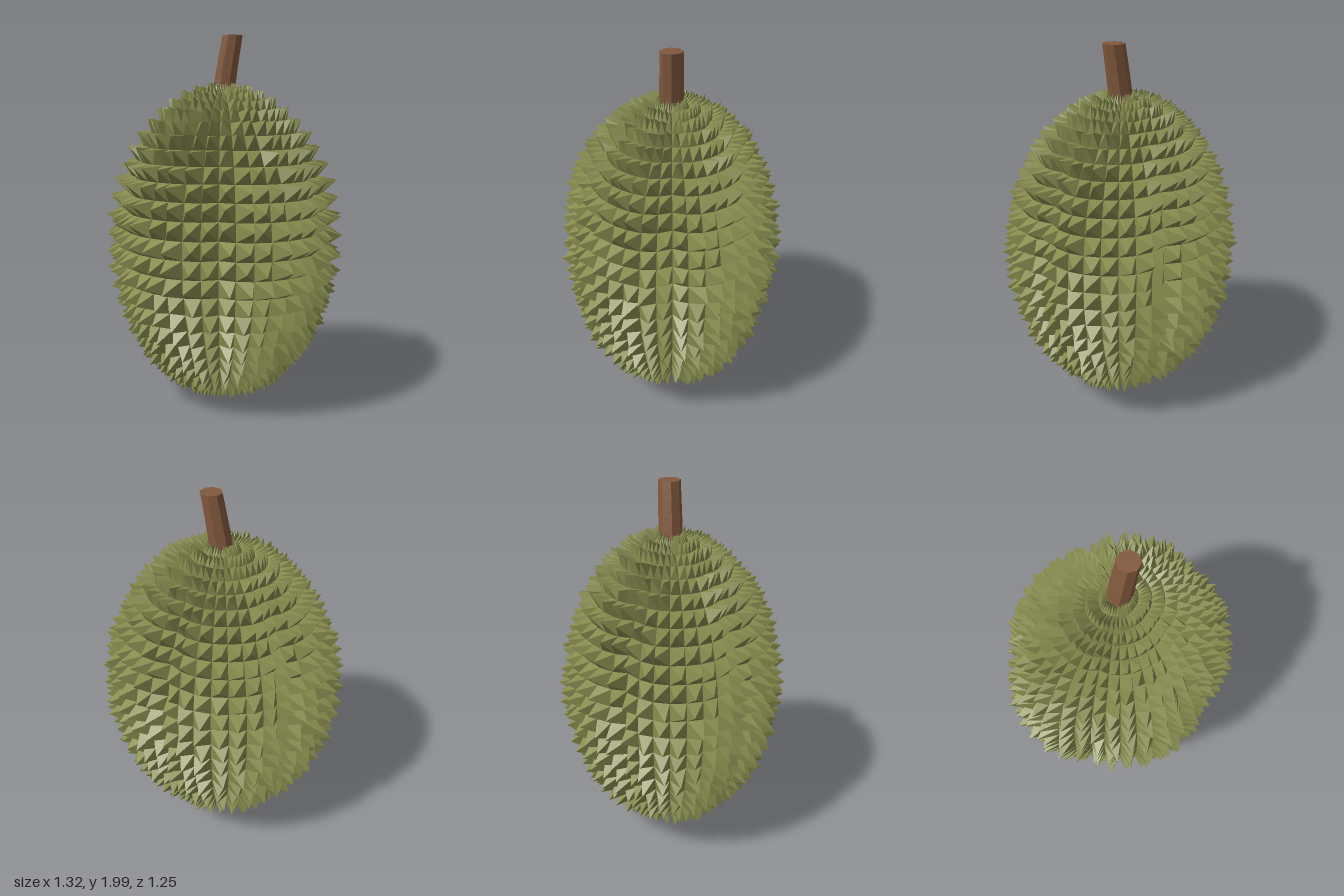
import * as THREE from 'three';

const ROWS = 26, COLS = 40, CENTRE = 0.885;
const POLE = 0.05; // angle left open around each pole

// Small seeded random, -1 to 1
function makeRandom(seed) {
  return () => {
    seed = (seed * 16807) % 2147483647;
    return (seed / 2147483647) * 2 - 1;
  };
}

// Point on the five-lobed husk
function huskPoint(theta, phi) {
  const s = Math.sin(phi);
  const groove = Math.pow(1 - Math.abs(Math.sin(2.5 * theta)), 1.9);
  const r = s * (1 - 0.11 * groove * s);
  return new THREE.Vector3(
    0.585 * r * Math.cos(theta),
    CENTRE + 0.825 * Math.cos(phi),
    0.535 * r * Math.sin(theta)
  );
}

function facetedGeometry(points) {
  const g = new THREE.BufferGeometry().setFromPoints(points);
  g.computeVertexNormals();
  return g;
}

// Rows of four-sided spikes with slightly wandering tips
function spikyHusk() {
  const rand = makeRandom(7);
  const pts = [];
  const dPhi = (Math.PI - 2 * POLE) / ROWS, dTheta = (Math.PI * 2) / COLS;
  for (let i = 0; i < ROWS; i++) {
    const p0 = POLE + i * dPhi, p1 = p0 + dPhi;
    const size = Math.sin((p0 + p1) / 2);
    for (let j = 0; j < COLS; j++) {
      const t0 = j * dTheta, t1 = t0 + dTheta;
      const base = [huskPoint(t0, p0), huskPoint(t1, p0), huskPoint(t1, p1), huskPoint(t0, p1)];
      const tip = huskPoint((t0 + t1) / 2 + rand() * 0.3 * dTheta, (p0 + p1) / 2 + rand() * 0.012);
      const out = new THREE.Vector3(tip.x / 0.342, (tip.y - CENTRE) / 0.68, tip.z / 0.286).normalize();
      tip.addScaledVector(out, (0.045 + 0.042 * size) * (1 + rand() * 0.13));
      base.forEach((b, k) => pts.push(b, base[(k + 1) % 4], tip));
    }
  }
  return facetedGeometry(pts);
}

// Small closing discs at the poles
function poleCap(phi) {
  const pts = [];
  const pole = huskPoint(0, phi < 1 ? 0 : Math.PI);
  for (let j = 0; j < COLS; j++) {
    const a = huskPoint((j / COLS) * Math.PI * 2, phi);
    const b = huskPoint(((j + 1) / COLS) * Math.PI * 2, phi);
    if (phi < 1) pts.push(pole, b, a);
    else pts.push(pole, a, b);
  }
  return facetedGeometry(pts);
}

// Ribbed stalk, bent sideways as it rises
function stalkGeometry() {
  const g = new THREE.CylinderGeometry(0.055, 0.062, 0.34, 16, 4);
  const p = g.attributes.position;
  for (let i = 0; i < p.count; i++) {
    const t = THREE.MathUtils.clamp(p.getY(i) / 0.34 + 0.5, 0, 1);
    const a = Math.atan2(p.getZ(i), p.getX(i));
    const rib = 1 + 0.04 * Math.cos(a * 8);
    p.setXYZ(i, p.getX(i) * rib + 0.055 * Math.pow(t, 1.2), 1.66 + 0.34 * t, p.getZ(i) * rib);
  }
  const flat = g.toNonIndexed();
  flat.computeVertexNormals();
  return flat;
}

export function createModel() {
  const green = new THREE.MeshStandardMaterial({ color: 0x868b4e });
  green.name = 'husk green';
  const brown = new THREE.MeshStandardMaterial({ color: 0x82593d });
  brown.name = 'stalk brown';

  const model = new THREE.Group();
  model.name = 'spikyFruit';
  const add = (name, geometry, material) => {
    const mesh = new THREE.Mesh(geometry, material);
    mesh.name = name;
    model.add(mesh);
  };
  add('spikyHusk', spikyHusk(), green);
  add('topCap', poleCap(POLE), green);
  add('bottomCap', poleCap(Math.PI - POLE), green);
  add('stalk', stalkGeometry(), brown);
  return model;
}
